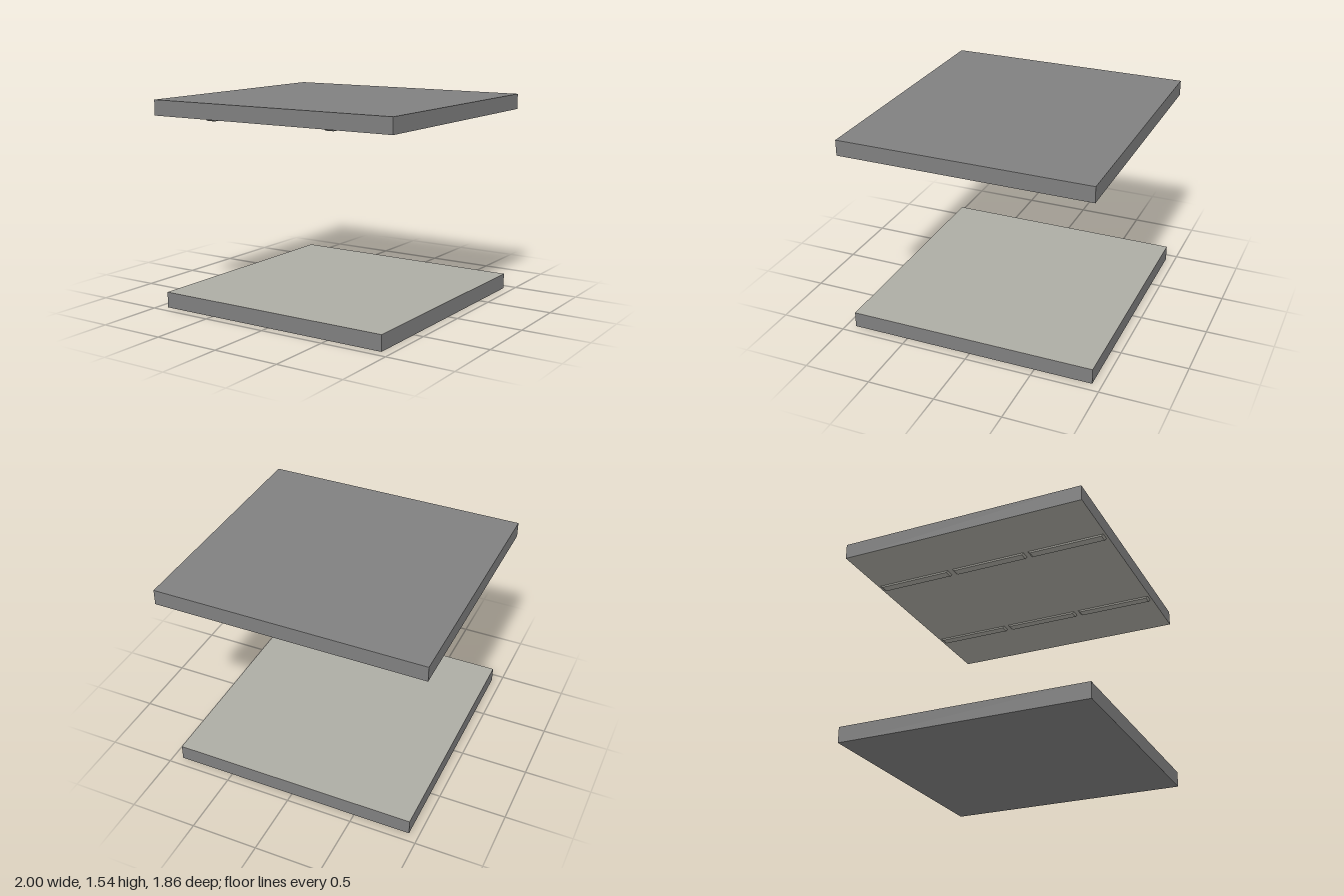
import * as THREE from 'three';

const concrete = new THREE.MeshStandardMaterial({ name: 'grey concrete', color: 0x808080 });
const plaster = new THREE.MeshStandardMaterial({ name: 'warm pale plaster', color: 0xadaca4 });

// Slab with one finished face: 2 = top, 3 = underside
function slab(name, width, depth, bottom, top, finishedFace) {
  const materials = Array(6).fill(concrete);
  materials[finishedFace] = plaster;
  const mesh = new THREE.Mesh(new THREE.BoxGeometry(width, top - bottom, depth), materials);
  mesh.name = name;
  mesh.position.y = (bottom + top) / 2;
  return mesh;
}

// Shallow ceiling fitting whose lower edges slope inward
function lightGeometry(width, height, depth, inset) {
  const geometry = new THREE.BoxGeometry(width, height, depth);
  const p = geometry.attributes.position;
  for (let i = 0; i < p.count; i++) {
    if (p.getY(i) < 0) {
      p.setX(i, p.getX(i) - Math.sign(p.getX(i)) * 0.003);
      p.setZ(i, p.getZ(i) - Math.sign(p.getZ(i)) * inset);
    }
  }
  geometry.computeVertexNormals();
  return geometry;
}

export function createModel() {
  const model = new THREE.Group();
  model.name = 'floorAndCeiling';

  model.add(slab('floorSlab', 1.855, 1.86, 0, 0.117, 2));
  model.add(slab('ceilingSlab', 2, 1.86, 1.426, 1.541, 3));

  // Two rows of three ceiling lights
  const geometry = lightGeometry(0.07, 0.012, 0.585, 0.015);
  for (const x of [-0.5, 0.5]) {
    for (const z of [-0.62, 0, 0.62]) {
      const light = new THREE.Mesh(geometry, plaster);
      light.name = 'ceilingLight';
      light.position.set(x, 1.42, z);
      model.add(light);
    }
  }
  return model;
}
